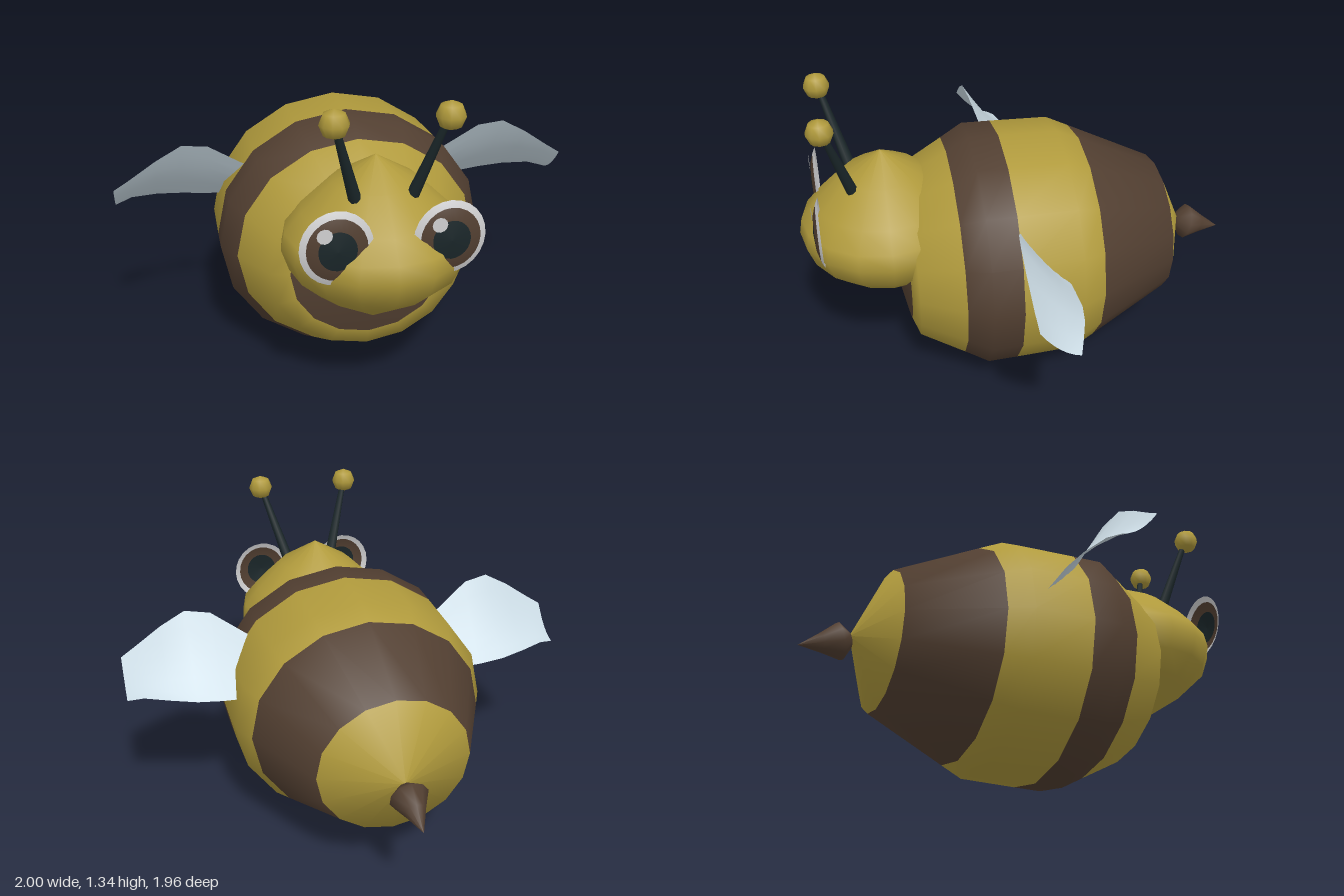
import * as THREE from 'three';

const mat = (name, color, side = THREE.FrontSide) => {
  const m = new THREE.MeshStandardMaterial({ color, side });
  m.name = name;
  return m;
};

export function createModel() {
  const yellow = mat('honeyYellow', 0xb09a3c);
  const brown = mat('darkBrown', 0x523f31);
  const dark = mat('blackGreen', 0x1a2629);
  const wingBlue = mat('paleBlue', 0xcbdbe4, THREE.DoubleSide);
  const eyeWhite = mat('eyeWhite', 0xcfcfd0, THREE.DoubleSide);
  const irisBrown = mat('irisBrown', 0x523f31, THREE.DoubleSide);
  const pupilDark = mat('pupilDark', 0x1a2629, THREE.DoubleSide);

  const model = new THREE.Group();
  model.name = 'bee';

  const add = (name, geometry, material, parent = model) => {
    const mesh = new THREE.Mesh(geometry, material);
    mesh.name = name;
    parent.add(mesh);
    return mesh;
  };

  // Lathe about z; profile is [radius, z] with rising z, bands[j] is the material slot of segment j
  const bandedLathe = (profile, sides, bands) => {
    const geo = new THREE.LatheGeometry(profile.map(p => new THREE.Vector2(...p)), sides);
    const n = profile.length, index = [];
    bands.forEach((slot, j) => {
      geo.addGroup(index.length, sides * 6, slot);
      for (let i = 0; i < sides; i++) {
        const a = i * n + j, b = a + n;
        index.push(a, b, a + 1, b + 1, a + 1, b);
      }
    });
    geo.setIndex(index);
    return geo.rotateX(Math.PI / 2);
  };

  // Striped body, slightly flattened
  const body = add('body', bandedLathe([
    [0, -0.77], [0.33, -0.635], [0.515, -0.27], [0.565, -0.17], [0.573, 0.09],
    [0.576, 0.22], [0.517, 0.32], [0.41, 0.505], [0.33, 0.533], [0.17, 0.565], [0, 0.585],
  ], 16, [0, 1, 0, 0, 1, 1, 0, 0, 1, 1]), [yellow, brown]);
  body.scale.y = 0.93;
  body.position.y = 0.5375;

  // Stinger, tilted down
  const stinger = add('stinger', new THREE.LatheGeometry(
    [[0, -0.05], [0.035, -0.045], [0.082, 0], [0.045, 0.075], [0, 0.177]]
      .map(p => new THREE.Vector2(...p)), 10), brown);
  stinger.position.set(0, 0.505, -0.81);
  stinger.rotation.x = -Math.PI / 2 - 0.28;

  // Head, pointed at crown and chin
  const head = add('head', new THREE.LatheGeometry(
    [[0, 0.345], [0.26, 0.52], [0.345, 0.6], [0.376, 0.69], [0.362, 0.76],
      [0.295, 0.84], [0.17, 0.96], [0, 1.062]]
      .map(p => new THREE.Vector2(...p)), 16), yellow);
  head.position.z = 0.6;

  // Wing sections from root to tip: x, leading y, z, trailing y, z
  const sections = [
    [0.4, 0.83, 0.07, 0.64, -0.1], [0.46, 0.865, 0.09, 0.64, -0.105],
    [0.6, 0.963, 0.125, 0.648, -0.11], [0.71, 0.98, 0.14, 0.66, -0.11],
    [0.82, 0.92, 0.14, 0.675, -0.09], [0.93, 0.845, 0.135, 0.685, -0.055],
    [1, 0.8, 0.13, 0.67, -0.03],
  ];
  const wingGeometry = side => {
    const steps = 6, pos = [], index = [];
    sections.forEach(([x, y0, z0, y1, z1], i) => {
      for (let k = 0; k <= steps; k++) {
        const t = k / steps;
        pos.push(side * x, y0 + (y1 - y0) * t - 0.1 * t * (1 - t), z0 + (z1 - z0) * t);
        if (i && k) {
          const d = i * (steps + 1) + k, c = d - 1, b = d - steps - 1, a = b - 1;
          if (side > 0) index.push(a, c, b, c, d, b);
          else index.push(a, b, c, c, b, d);
        }
      }
    });
    const geo = new THREE.BufferGeometry();
    geo.setAttribute('position', new THREE.Float32BufferAttribute(pos, 3));
    geo.setIndex(index);
    geo.computeVertexNormals();
    return geo;
  };

  for (const side of [1, -1]) {
    const label = side > 0 ? 'left' : 'right';
    add(label + 'Wing', wingGeometry(side), wingBlue);

    // Antenna stem and knob
    const antenna = new THREE.Group();
    antenna.name = label + 'Antenna';
    model.add(antenna);
    const foot = new THREE.Vector3(side * 0.11, 0.93, 0.73);
    const top = new THREE.Vector3(side * 0.203, 1.25, 0.82);
    const dir = top.clone().sub(foot);
    const stem = add('antennaStem', new THREE.CylinderGeometry(0.014, 0.026, dir.length(), 8), dark, antenna);
    stem.position.copy(foot).addScaledVector(dir, 0.5);
    stem.quaternion.setFromUnitVectors(new THREE.Vector3(0, 1, 0), dir.normalize());
    const knob = add('antennaKnob', new THREE.SphereGeometry(0.057, 10, 4), yellow, antenna);
    knob.position.set(side * 0.213, 1.28, 0.833);

    // Shallow domed eye with white rim, iris, pupil and glint
    const eye = new THREE.Group();
    eye.name = label + 'Eye';
    eye.position.set(side * 0.215, 0.818, 0.877);
    model.add(eye);
    const ball = add('eyeDome', bandedLathe(
      [[0.14, 0], [0.116, 0.012], [0.073, 0.026], [0, 0.033]], 24, [0, 1, 2]),
    [eyeWhite, irisBrown, pupilDark], eye);
    ball.scale.y = 1.07;
    const glint = add('eyeGlint', new THREE.CircleGeometry(0.03, 12), eyeWhite, eye);
    glint.position.set(-0.05, 0.068, 0.032);
  }

  return model;
}
